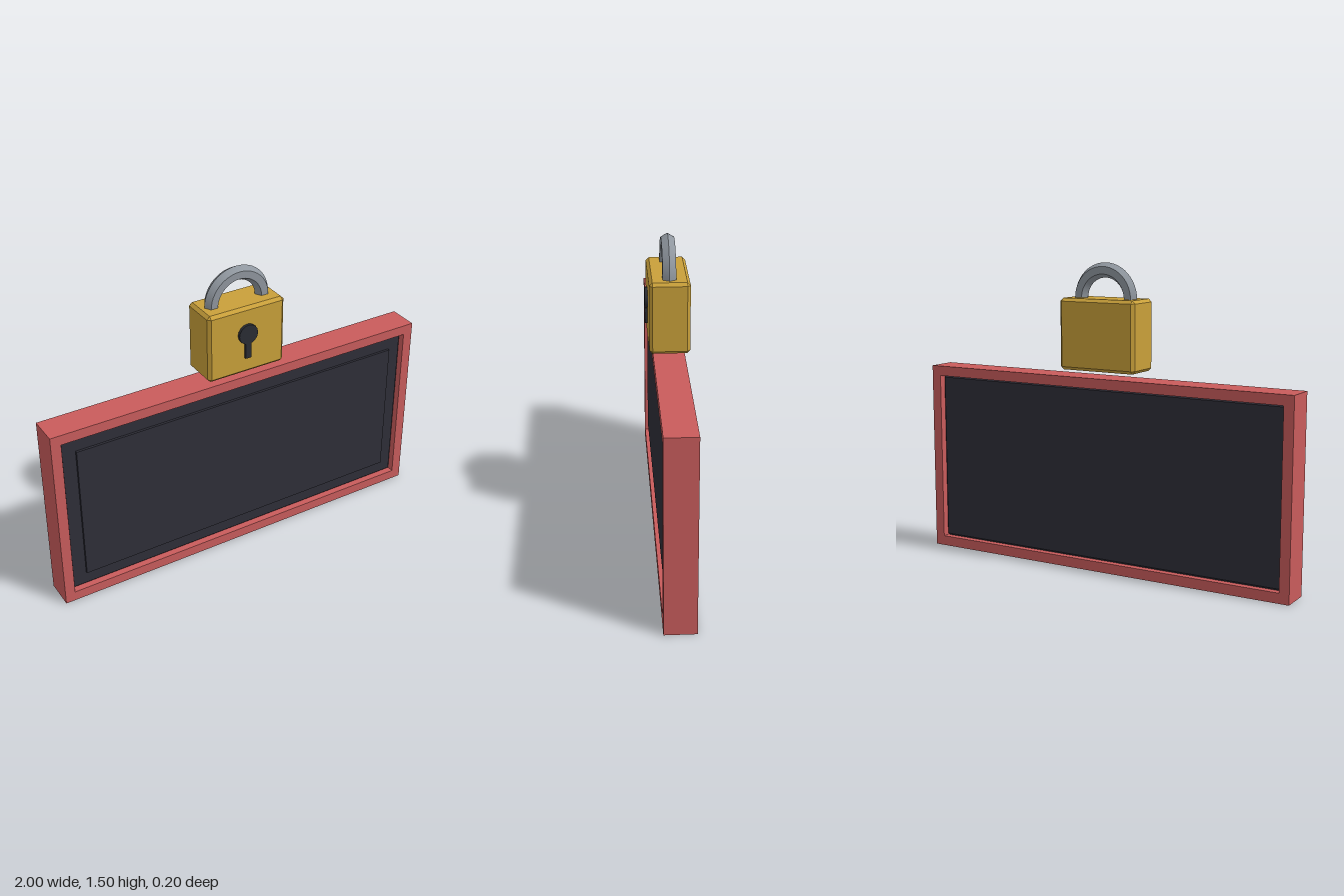
import * as THREE from 'three';
import { toCreasedNormals } from 'three/addons/utils/BufferGeometryUtils.js';
import { ConvexGeometry } from 'three/addons/geometries/ConvexGeometry.js';

const material = (name, color) => {
  const m = new THREE.MeshStandardMaterial({ color });
  m.name = name;
  return m;
};

// Box with flat chamfers on every edge: three points per corner
function chamferBox(w, h, d, c) {
  const points = [];
  for (const x of [-1, 1]) for (const y of [-1, 1]) for (const z of [-1, 1]) {
    for (let axis = 0; axis < 3; axis++) {
      const inset = [c, c, c];
      inset[axis] = 0;
      points.push(new THREE.Vector3(
        x * (w / 2 - inset[0]), y * (h / 2 - inset[1]), z * (d / 2 - inset[2])));
    }
  }
  return new ConvexGeometry(points);
}

function rectangle(target, x, y0, y1) {
  target.moveTo(-x, y0);
  target.lineTo(x, y0);
  target.lineTo(x, y1);
  target.lineTo(-x, y1);
  target.closePath();
  return target;
}

export function createModel() {
  const red = material('frame red', 0xc95c5c);
  const slate = material('panel slate', 0x2e2e38);
  const brass = material('lock brass', 0xc9a03a);
  const steel = material('shackle steel', 0x8f969e);
  const dark = material('keyhole dark', 0x2a2c33);

  const model = new THREE.Group();
  const midZ = -0.007;
  const add = (parent, name, geometry, mat, x, y, z) => {
    const mesh = new THREE.Mesh(geometry, mat);
    mesh.name = name;
    mesh.position.set(x, y, z);
    parent.add(mesh);
    return mesh;
  };

  // Rectangular frame, open through the middle
  const outline = rectangle(new THREE.Shape(), 1, 0, 0.955);
  outline.holes.push(rectangle(new THREE.Path(), 0.95, 0.05, 0.905));
  add(model, 'frame', new THREE.ExtrudeGeometry(outline, { depth: 0.15, bevelEnabled: false }),
    red, 0, 0, midZ - 0.075);

  // Recessed panel with a slightly raised field on its front
  add(model, 'panel', chamferBox(1.9, 0.855, 0.1, 0.01), slate, 0, 0.4775, midZ);
  add(model, 'raisedField', new THREE.BoxGeometry(1.75, 0.705, 0.02), slate, 0, 0.4775, midZ + 0.052);

  // Padlock floating above the frame
  const padlock = new THREE.Group();
  padlock.name = 'padlock';
  model.add(padlock);
  add(padlock, 'lockBody', chamferBox(0.41, 0.345, 0.19, 0.015), brass, 0, 1.1625, midZ);

  // Half-ring shackle with a hexagonal section
  const ring = toCreasedNormals(new THREE.TorusGeometry(0.135, 0.036, 6, 24, Math.PI), 0.6);
  add(padlock, 'shackle', ring, steel, 0, 1.334, midZ);

  // Keyhole: round plate and slot
  const plate = new THREE.CylinderGeometry(0.05, 0.05, 0.02, 16).rotateX(Math.PI / 2);
  add(padlock, 'keyholeRound', plate, dark, 0, 1.2, 0.0925);
  add(padlock, 'keyholeSlot', new THREE.BoxGeometry(0.03, 0.11, 0.018), dark, 0, 1.13, 0.0925);

  return model;
}
